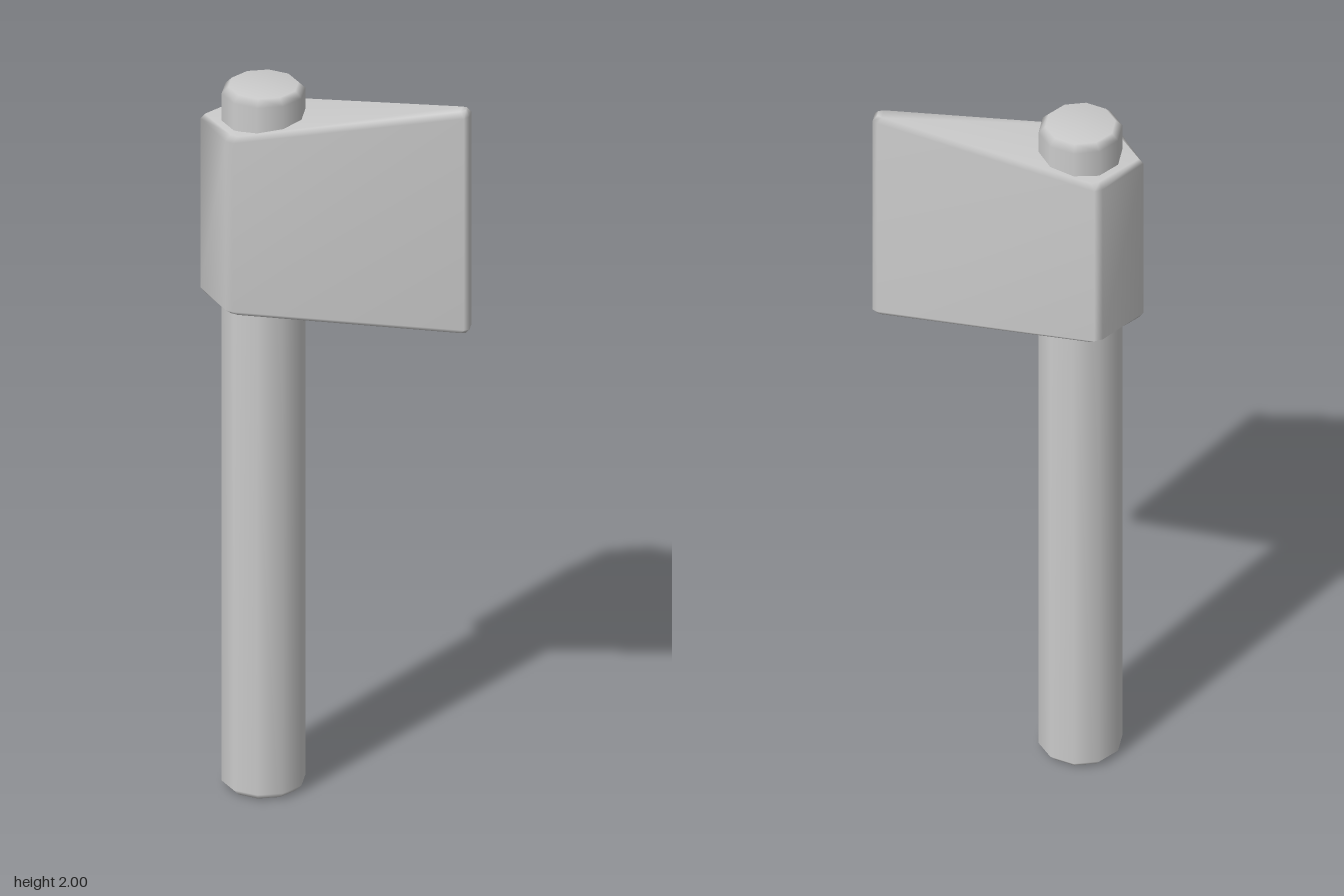
import * as THREE from 'three';

const material = new THREE.MeshStandardMaterial({ color: 0xcccccc });

// Ten-sided shaft with small chamfers at both ends
function createHandle() {
  const r = 0.11, c = 0.018;
  const profile = [[0, 0], [r - c, 0], [r, c], [r, 2 - c], [r - c, 2], [0, 2]]
    .map(([x, y]) => new THREE.Vector2(x, y));
  const handle = new THREE.Mesh(new THREE.LatheGeometry(profile, 10), material);
  handle.name = 'handle';
  handle.position.x = -0.19;
  return handle;
}

// Wedge-shaped head: one plan outline stacked in four rings, flaring towards the edge
function createHead() {
  const outline = [
    [-0.355, 0], [-0.27, 0.13], [-0.25, 0.139], [0.34, 0.032], [0.353, 0.02],
    [0.353, -0.013], [0.34, -0.022], [-0.25, -0.142], [-0.27, -0.13],
  ];
  const n = outline.length, midY = 1.65, bevel = 0.014;
  const halfHeight = (x) => 0.255 + 0.063 * Math.max(0, (x + 0.25) / 0.603);
  const positions = [], index = [];

  // Rings from bottom to top; the outer two are inset to form the bevel
  for (const [side, inset] of [[-1, 1], [-1, 0], [1, 0], [1, 1]]) {
    for (const [x, z] of outline) {
      const px = x - Math.sign(x) * bevel * inset * 0.8;
      const pz = z - Math.sign(z) * Math.min(bevel, Math.abs(z) * 0.4) * inset;
      positions.push(px, midY + side * (halfHeight(x) - bevel * (1 - inset)), pz);
    }
  }

  // Walls between neighbouring rings
  for (let ring = 0; ring < 3; ring++) {
    for (let i = 0; i < n; i++) {
      const a = ring * n + i, b = ring * n + (i + 1) % n;
      index.push(a, b, b + n, a, b + n, a + n);
    }
  }

  // Caps as strips running from the back point to the cutting edge
  const top = 3 * n;
  const capTriangle = (a, b, c) => index.push(top + a, top + b, top + c, a, c, b);
  capTriangle(0, 1, n - 1);
  for (let i = 1; i < 4; i++) {
    capTriangle(i, i + 1, n - 1 - i);
    capTriangle(i, n - 1 - i, n - i);
  }

  const geometry = new THREE.BufferGeometry();
  geometry.setAttribute('position', new THREE.Float32BufferAttribute(positions, 3));
  geometry.setIndex(index);
  geometry.computeVertexNormals();
  const head = new THREE.Mesh(geometry, material);
  head.name = 'axeHead';
  return head;
}

export function createModel() {
  const group = new THREE.Group();
  group.name = 'axe';
  group.add(createHandle(), createHead());
  return group;
}
